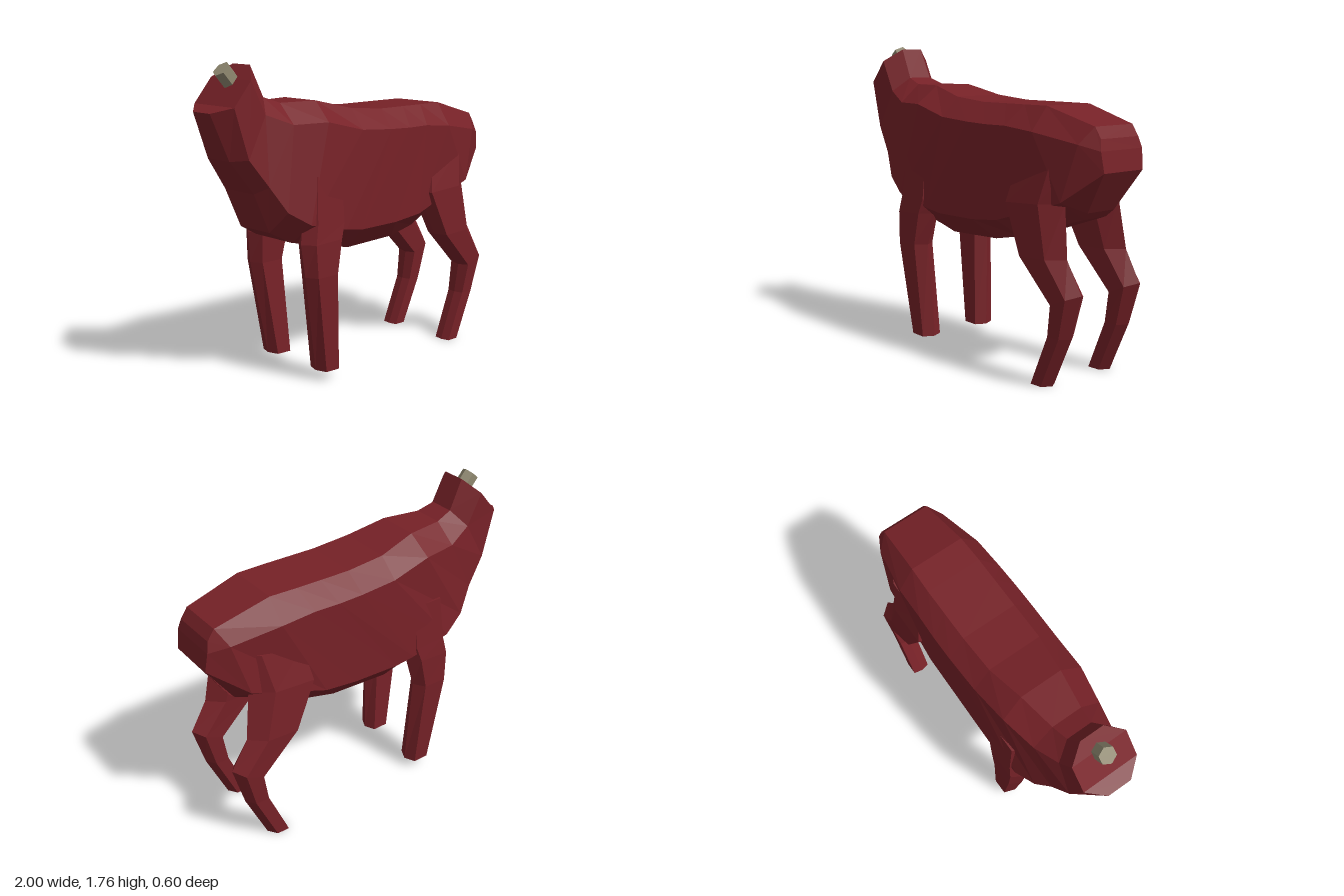
import * as THREE from 'three';

const hide = new THREE.MeshStandardMaterial({ color: 0x762127, flatShading: true });
const bone = new THREE.MeshStandardMaterial({ color: 0x8f8870, flatShading: true });

// Closed faceted skin through equal-sized rings, with strip caps on both ends.
function loft(rings) {
  const pos = [];
  const quad = (a, b, c, d) => [a, b, c, a, c, d].forEach(p => pos.push(...p));
  const n = rings[0].length;
  for (let i = 0; i < rings.length - 1; i++) {
    for (let j = 0; j < n; j++) {
      const k = (j + 1) % n;
      quad(rings[i][j], rings[i][k], rings[i + 1][k], rings[i + 1][j]);
    }
  }
  const first = rings[0], last = rings[rings.length - 1];
  for (let j = 0; j < n / 2 - 1; j++) {
    quad(last[j], last[j + 1], last[n - 2 - j], last[n - 1 - j]);
    quad(first[n - 1 - j], first[n - 2 - j], first[j + 1], first[j]);
  }
  const g = new THREE.BufferGeometry();
  g.setAttribute('position', new THREE.Float32BufferAttribute(pos, 3));
  g.computeVertexNormals();
  return g;
}

// Half sections from neck to rump: spine, shoulder, flank and belly corners.
const bodySections = [
  [[-0.74, 1.74, 0.07], [-0.81, 1.67, 0.165], [-0.92, 1.54, 0.165], [-1, 1.51, 0.07]],
  [[-0.66, 1.57, 0.075], [-0.72, 1.49, 0.165], [-0.84, 1.27, 0.175], [-0.9, 1.26, 0.09]],
  [[-0.56, 1.535, 0.09], [-0.57, 1.43, 0.21], [-0.73, 1.12, 0.2], [-0.77, 1.08, 0.12]],
  [[-0.34, 1.535, 0.125], [-0.36, 1.43, 0.25], [-0.64, 0.98, 0.24], [-0.67, 0.86, 0.12]],
  [[-0.11, 1.48, 0.16], [-0.12, 1.37, 0.265], [-0.51, 0.9, 0.275], [-0.54, 0.79, 0.15]],
  [[0.12, 1.46, 0.165], [0.1, 1.355, 0.27], [-0.26, 0.84, 0.28], [-0.26, 0.73, 0.155]],
  [[0.3, 1.46, 0.165], [0.25, 1.35, 0.27], [-0.14, 0.82, 0.275], [-0.14, 0.7, 0.16]],
  [[0.45, 1.46, 0.165], [0.4, 1.35, 0.265], [0.14, 0.82, 0.27], [0.22, 0.71, 0.16]],
  [[0.61, 1.46, 0.16], [0.6, 1.33, 0.26], [0.34, 0.84, 0.27], [0.4, 0.745, 0.15]],
  [[0.93, 1.37, 0.14], [0.88, 1.28, 0.21], [0.79, 0.98, 0.24], [0.81, 0.88, 0.08]],
  [[0.97, 1.31, 0.14], [0.985, 1.25, 0.155], [1, 1.14, 0.145], [0.85, 0.92, 0.1]],
];

// Leg sections: front x, y, back x, y, inner z, outer z.
const frontLeg = [
  [-0.5, 1.15, -0.22, 1.15, 0.1, 0.262],
  [-0.52, 0.9, -0.22, 0.88, 0.14, 0.285],
  [-0.54, 0.79, -0.25, 0.8, 0.15, 0.295],
  [-0.52, 0.61, -0.3, 0.61, 0.165, 0.3],
  [-0.425, 0.06, -0.28, 0.055, 0.14, 0.27],
];
const hindLeg = [
  [0.44, 1.15, 0.84, 1.2, 0.1, 0.24],
  [0.4, 0.95, 0.79, 0.97, 0.12, 0.285],
  [0.53, 0.68, 0.83, 0.69, 0.15, 0.3],
  [0.76, 0.45, 0.93, 0.52, 0.155, 0.29],
  [0.73, 0.28, 0.86, 0.28, 0.165, 0.275],
  [0.61, 0, 0.73, 0, 0.17, 0.275],
];

// Six-sided leg; the insets bevel its front and back edges.
function legGeometry(sections, frontInset, backInset, side) {
  return loft(sections.map(([xf, yf, xb, yb, zi, zo]) => {
    const at = (t, z) => [xf + (xb - xf) * t, yf + (yb - yf) * t, z * side];
    const f = frontInset, b = 1 - backInset, zm = (zi + zo) / 2;
    const ring = [at(b, zo), at(f, zo), at(0, zm), at(f, zi), at(b, zi), at(1, zm)];
    return side > 0 ? ring : ring.reverse();
  }));
}

export function createModel() {
  const model = new THREE.Group();
  const add = (name, geometry, material) => {
    const mesh = new THREE.Mesh(geometry, material);
    mesh.name = name;
    model.add(mesh);
    return mesh;
  };

  // Torso with the cut neck
  add('body', loft(bodySections.map(half => [
    ...half, ...half.map(([x, y, z]) => [x, y, -z]).reverse(),
  ])), hide);

  // Two pairs of legs
  for (const side of [1, -1]) {
    const label = side > 0 ? 'Near' : 'Far';
    add('frontLeg' + label, legGeometry(frontLeg, 0.16, 0.2, side), hide);
    add('hindLeg' + label, legGeometry(hindLeg, 0.08, 0.3, side), hide);
  }

  // Bone stub standing out of the neck cut
  const axis = new THREE.Vector3(-0.66, 0.75, 0).normalize();
  const geometry = new THREE.CylinderGeometry(0.05, 0.05, 0.14, 6).rotateY(Math.PI / 6 * 3);
  const stub = add('neckBone', geometry, bone);
  stub.rotation.z = Math.atan2(-axis.x, axis.y);
  stub.position.set(-0.87, 1.722, 0).addScaledVector(axis, -0.07);

  return model;
}
